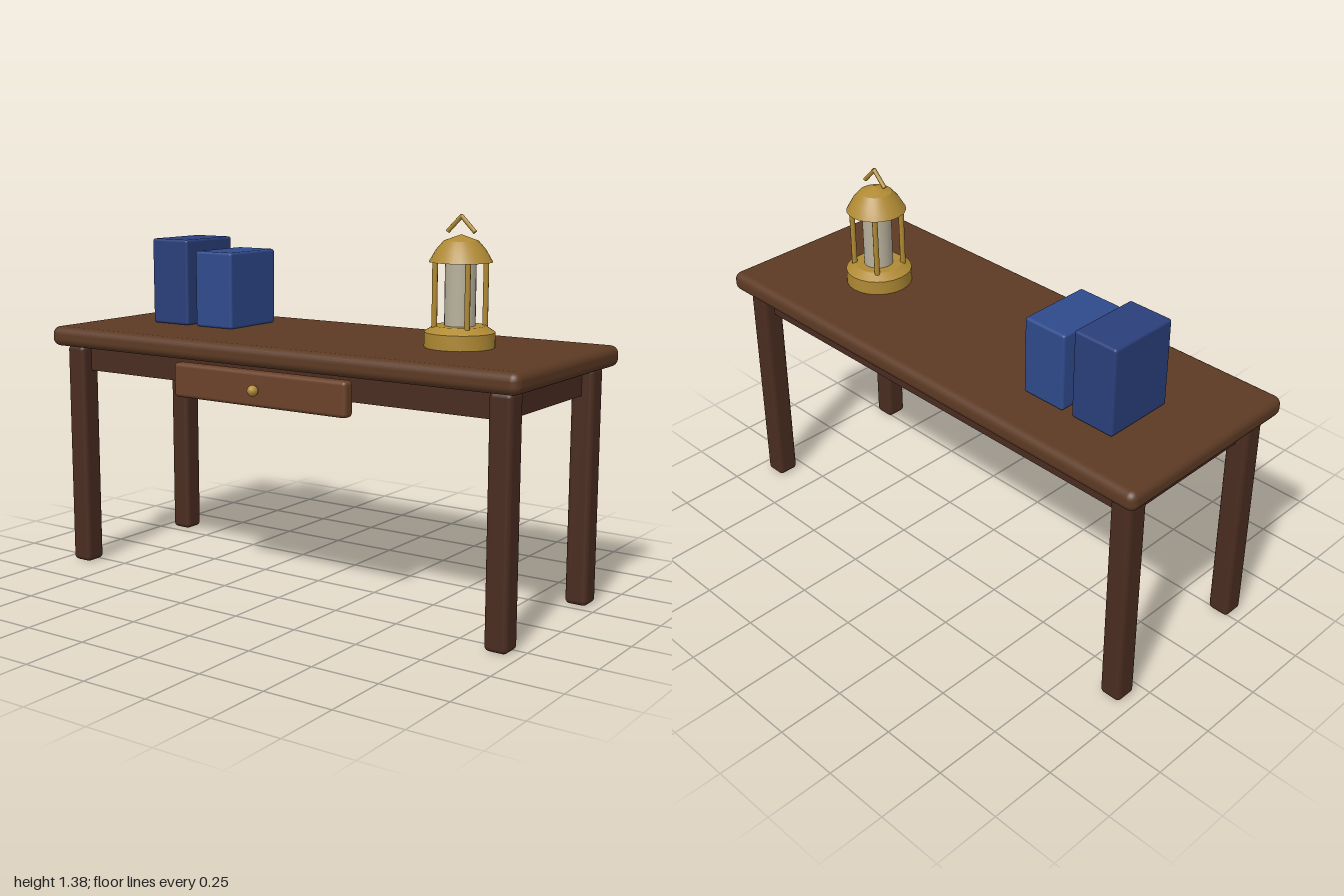
import * as THREE from 'three';
import { RoundedBoxGeometry } from 'three/addons/geometries/RoundedBoxGeometry.js';
import { toCreasedNormals } from 'three/addons/utils/BufferGeometryUtils.js';

const paint = (color, side = THREE.FrontSide) => new THREE.MeshStandardMaterial({ color, side });

export function createModel() {
  const model = new THREE.Group();
  model.name = 'deskWithLantern';

  const topWood = paint(0x5c3a24);
  const legWood = paint(0x4a2c20);
  const drawerWood = paint(0x6b4229);
  const brass = paint(0xb08a34);
  const brassThin = paint(0xb08a34, THREE.DoubleSide);

  function add(parent, name, geometry, material, x, y, z) {
    const mesh = new THREE.Mesh(geometry, material);
    mesh.name = name;
    mesh.position.set(x, y, z);
    parent.add(mesh);
    return mesh;
  }
  const rounded = (w, h, d, r, segments = 3) => new RoundedBoxGeometry(w, h, d, segments, r);
  const lathe = (points) => toCreasedNormals(
    new THREE.LatheGeometry(points.map(([r, y]) => new THREE.Vector2(r, y)), 24), 0.4);

  // Table: top, solid apron and four legs
  const midZ = -0.024;
  add(model, 'tableTop', rounded(2, 0.075, 0.776, 0.03), topWood, 0, 0.89, midZ);
  add(model, 'apron', new THREE.BoxGeometry(1.83, 0.1, 0.6), legWood, 0, 0.807, midZ);
  for (const sx of [-1, 1]) {
    for (const sz of [-1, 1]) {
      add(model, sz > 0 ? 'frontLeg' : 'backLeg', rounded(0.085, 0.855, 0.085, 0.018),
        legWood, sx * 0.915, 0.4275, midZ + sz * 0.301);
    }
  }

  // Drawer front and knob
  add(model, 'drawerFront', rounded(0.745, 0.125, 0.049, 0.014), drawerWood, 0, 0.781, 0.3515);
  add(model, 'drawerKnob', new THREE.SphereGeometry(0.02, 10, 8), brass, 0, 0.78, 0.395);

  // Two upright books
  add(model, 'tallBook', rounded(0.174, 0.327, 0.274, 0.01), paint(0x2a3f7a), -0.664, 1.0915, -0.088);
  add(model, 'shortBook', rounded(0.174, 0.287, 0.274, 0.01), paint(0x2f4a8c), -0.451, 1.0715, -0.088);

  // Lantern: base, glass, corner posts, roof and peaked handle
  const lantern = new THREE.Group();
  lantern.name = 'lantern';
  lantern.position.set(0.56, 0.927, -0.05);
  model.add(lantern);

  add(lantern, 'lanternBase',
    lathe([[0, 0], [0.123, 0], [0.123, 0.053], [0.09, 0.075], [0, 0.075]]), brass, 0, 0, 0);
  add(lantern, 'lanternGlass', new THREE.CylinderGeometry(0.054, 0.054, 0.235, 24),
    paint(0xb8b09c), 0, 0.187, 0);
  for (const sx of [-1, 1]) {
    for (const sz of [-1, 1]) {
      add(lantern, 'lanternPost', new THREE.CylinderGeometry(0.01, 0.01, 0.235, 8),
        brass, sx * 0.064, 0.187, sz * 0.064);
    }
  }
  add(lantern, 'lanternRoof',
    lathe([[0.11, 0.293], [0.086, 0.335], [0.06, 0.365], [0, 0.387]]), brassThin, 0, 0, 0);
  for (const s of [-1, 1]) {
    const bar = add(lantern, 'lanternHandle', new THREE.CylinderGeometry(0.008, 0.008, 0.078, 8),
      brass, s * 0.0255, 0.423, 0);
    bar.rotation.z = s * Math.PI / 4;
  }

  return model;
}
